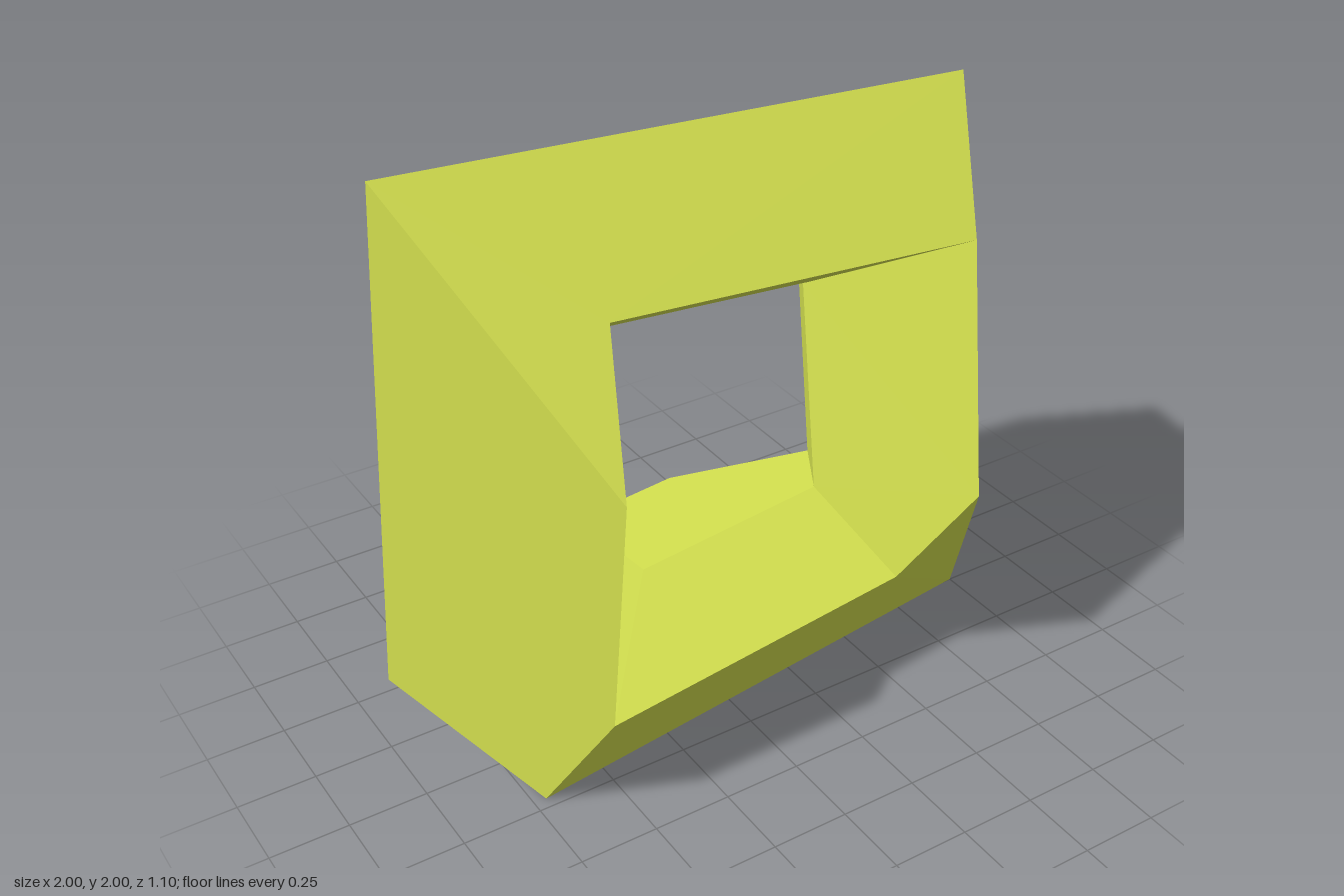
import * as THREE from 'three';

// Corners of one quarter of the ring, measured from its centre
const A = [-1, 1, 0], B = [0.71, 1, 0.213], C = [0.6, 0.6, 0.45];
const D = [-0.5, 0.6, 0.313], E = [-0.6, 0.2, 0.55];
const P = [-0.4, 0.4, 0], Q = [0.285, 0.4, 0.09];

// Half turns about z and about the diagonal x = y
const halfTurn = ([x, y, z]) => [-x, -y, z];
const flip = ([x, y, z]) => [y, x, -z];
const symmetries = [p => p, halfTurn, flip, p => flip(halfTurn(p))];

// Pentagons, anticlockwise, each starting at a corner that can fan to the others
const outerFaces = [
  [D, C, B, A, E],
  [halfTurn(A), flip(B), B, C, halfTurn(E)],
];
const innerFaces = [
  [E, halfTurn(C), halfTurn(flip(Q)), P, D],
  [Q, flip(Q), C, D, P],
];

// Repeats the pentagons around the ring and splits them into triangles
function facetMesh(name, faces, material) {
  const positions = [];
  for (const turn of symmetries) {
    for (const face of faces) {
      const pts = face.map(turn);
      for (let i = 1; i < pts.length - 1; i++) {
        positions.push(...pts[0], ...pts[i], ...pts[i + 1]);
      }
    }
  }
  const geometry = new THREE.BufferGeometry();
  geometry.setAttribute('position', new THREE.Float32BufferAttribute(positions, 3));
  geometry.translate(0, 1, 0);
  geometry.computeVertexNormals();
  const mesh = new THREE.Mesh(geometry, material);
  mesh.name = name;
  return mesh;
}

export function createModel() {
  const group = new THREE.Group();
  group.name = 'facetedRing';
  const material = new THREE.MeshStandardMaterial({ color: 0xdbe852, flatShading: true });
  group.add(facetMesh('outerFrame', outerFaces, material));
  group.add(facetMesh('innerOpening', innerFaces, material));
  return group;
}
